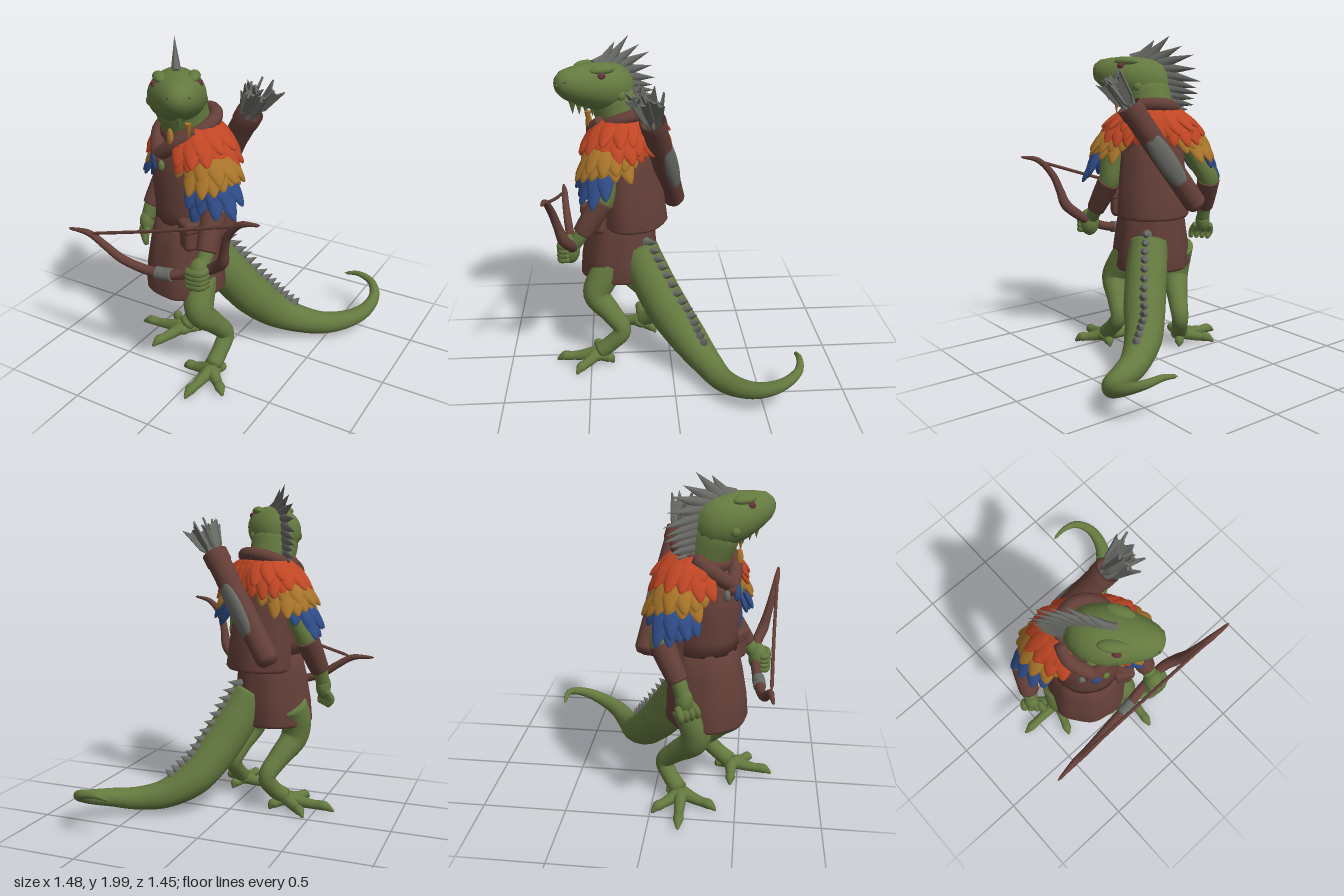
import * as THREE from 'three';
import { mergeVertices } from 'three/addons/utils/BufferGeometryUtils.js';
import { RoundedBoxGeometry } from 'three/addons/geometries/RoundedBoxGeometry.js';

const mat = (name, color) => Object.assign(new THREE.MeshStandardMaterial({ color }), { name });
const V = (p) => new THREE.Vector3(...p);
const UP = new THREE.Vector3(0, 1, 0);

function add(parent, name, geometry, material, pos = [0, 0, 0], scale = [1, 1, 1]) {
  const m = new THREE.Mesh(geometry, material);
  m.name = name;
  m.position.set(...pos);
  m.scale.set(...scale);
  parent.add(m);
  return m;
}

function group(parent, name, pos = [0, 0, 0], yaw = 0) {
  const g = new THREE.Group();
  g.name = name;
  g.position.set(...pos);
  g.rotation.y = yaw;
  parent.add(g);
  return g;
}

const ball = () => new THREE.SphereGeometry(1, 18, 12);

// Closed skin over ascending elliptical sections [cx, y, cz, halfX, halfZ], with optional pleats
function loft(sections, seg = 32, pleat = 0, lobes = 8) {
  const pos = [], idx = [];
  sections.forEach(([cx, y, cz, hx, hz], j) => {
    for (let i = 0; i < seg; i++) {
      const a = (i / seg) * Math.PI * 2, r = 1 + pleat * Math.cos(a * lobes);
      pos.push(cx + hx * r * Math.sin(a), y, cz + hz * r * Math.cos(a));
      if (j < sections.length - 1) {
        const n = (i + 1) % seg, b = j * seg;
        idx.push(b + i, b + n, b + seg + n, b + i, b + seg + n, b + seg + i);
      }
    }
  });
  const g = new THREE.BufferGeometry();
  g.setAttribute('position', new THREE.Float32BufferAttribute(pos, 3));
  g.setIndex(idx);
  g.computeVertexNormals();
  return g;
}

const radiusAt = (radii, t) => {
  const f = t * (radii.length - 1), i = Math.min(Math.floor(f), radii.length - 2);
  return THREE.MathUtils.lerp(radii[i], radii[i + 1], f - i);
};

// Tube through points with a radius at each point, closed at both ends
function limb(points, radii, sides = 14) {
  const curve = new THREE.CatmullRomCurve3(points.map(V));
  const n = points.length * 6;
  const g = new THREE.TubeGeometry(curve, n, 1, sides);
  const p = g.attributes.position, v = new THREE.Vector3();
  for (let i = 0; i <= n; i++) {
    const c = curve.getPointAt(i / n);
    const r = i === 0 || i === n ? 0.0005 : radiusAt(radii, curve.getUtoTmapping(i / n));
    for (let k = 0; k <= sides; k++) {
      const q = i * (sides + 1) + k;
      v.fromBufferAttribute(p, q).sub(c).multiplyScalar(r).add(c);
      p.setXYZ(q, v.x, v.y, v.z);
    }
  }
  g.deleteAttribute('uv');
  g.deleteAttribute('normal');
  const out = mergeVertices(g, 1e-6);
  out.computeVertexNormals();
  return out;
}

export function createModel() {
  const green = mat('scale green', 0x64793f), brown = mat('leather brown', 0x643f38);
  const red = mat('feather red', 0xc04624), ochre = mat('feather ochre', 0xa8742a);
  const blue = mat('feather blue', 0x2f4c88), grey = mat('horn grey', 0x686a65);
  const eyeMat = mat('eye maroon', 0x64343a);
  const root = new THREE.Group();
  root.name = 'lizardArcher';

  // Clothed body, turned to the model's right
  const body = group(root, 'body', [-0.14, 0, 0.25], -0.55);
  add(body, 'skirt', loft([[0, 0.62, 0.07, 0.01, 0.01], [0, 0.53, 0.07, 0.235, 0.22], [0, 0.55, 0.07, 0.25, 0.235],
    [0, 0.68, 0.065, 0.24, 0.23], [0, 0.85, 0.055, 0.215, 0.21], [0, 1.02, 0.04, 0.19, 0.18], [0, 1.03, 0.04, 0.01, 0.01]], 64, 0.018), brown);
  add(body, 'torso', loft([[0, 0.97, 0.04, 0.02, 0.02], [0, 0.98, 0.04, 0.2, 0.19], [0, 1.06, 0.04, 0.198, 0.19], [0, 1.2, 0.04, 0.21, 0.2],
    [0, 1.35, 0.03, 0.225, 0.195], [0, 1.44, 0.01, 0.22, 0.165], [0, 1.51, -0.01, 0.14, 0.12], [0, 1.52, -0.01, 0.01, 0.01]]), brown);
  add(body, 'backDrape', loft([[0, 0.92, -0.04, 0.02, 0.02], [0, 0.88, -0.045, 0.21, 0.18], [0, 0.9, -0.045, 0.225, 0.195],
    [0, 1.05, -0.035, 0.215, 0.185], [0, 1.25, -0.015, 0.2, 0.165], [0, 1.45, 0, 0.19, 0.15], [0, 1.5, 0, 0.02, 0.02]], 48, 0.015, 7), brown);
  add(body, 'pouch', new RoundedBoxGeometry(0.11, 0.16, 0.15, 3, 0.03), brown, [0.2, 0.945, 0.105]);
  add(body, 'pouchFlap', new RoundedBoxGeometry(0.12, 0.07, 0.16, 3, 0.02), brown, [0.203, 1.01, 0.105]);
  const collar = add(body, 'collar', new THREE.TorusGeometry(0.145, 0.04, 10, 36), brown, [0, 1.54, 0.01]);
  collar.rotation.x = Math.PI / 2 + 0.36;
  for (const s of [-1, 1]) {
    add(body, 'scarfFold', limb([[s * 0.155, 1.55, 0.06], [s * 0.12, 1.48, 0.15], [0, 1.38, 0.215], [-s * 0.05, 1.345, 0.22]],
      [0.04, 0.045, 0.042, 0.03]), brown);
    add(body, 'chestBead', ball(), s > 0 ? green : grey, [s * 0.065, 1.34, 0.23], [0.022, 0.032, 0.018]);
  }
  add(body, 'chestFeather', ball(), blue, [0.01, 1.345, 0.25], [0.03, 0.05, 0.015]);
  add(body, 'neckPendant', ball(), ochre, [0.11, 1.51, 0.19], [0.024, 0.055, 0.018]);
  add(body, 'hangingFeather', ball(), blue, [0.225, 1.12, 0.11], [0.03, 0.11, 0.035]);

  // Layered feather mantle, open at the chest; lower layers cover only the shoulders
  const leaf = new THREE.SphereGeometry(1, 10, 10);
  leaf.translate(0, -1, 0);
  const lp = leaf.attributes.position;
  for (let i = 0; i < lp.count; i++) lp.setX(i, lp.getX(i) * (1.3 + 0.34 * lp.getY(i)));
  leaf.computeVertexNormals();
  const mantle = group(body, 'featherMantle');
  const rows = [
    // material, y, radiusX, radiusZ, count, length, width, tilt, least |sin|, cosine range
    [red, 1.56, 0.15, 0.13, 18, 0.18, 0.052, 0.9, 0, -1, 0.8],
    [red, 1.53, 0.2, 0.155, 22, 0.18, 0.054, 0.72, 0, -1, 0.82],
    [red, 1.49, 0.245, 0.165, 24, 0.16, 0.05, 0.58, 0.2, -1, 0.82],
    [ochre, 1.44, 0.275, 0.16, 24, 0.17, 0.052, 0.62, 0.4, -0.92, 0.8],
    [ochre, 1.39, 0.305, 0.16, 26, 0.17, 0.05, 0.56, 0.55, -0.8, 0.8],
    [blue, 1.335, 0.325, 0.17, 26, 0.19, 0.048, 0.5, 0.6, -0.3, 0.78],
    [blue, 1.29, 0.335, 0.16, 26, 0.19, 0.05, 0.45, 0.6, -0.2, 0.75],
  ];
  for (const [m, y, rx, rz, n, len, w, tilt, least, cMin, cMax] of rows) {
    for (let i = 0; i < n; i++) {
      const a = ((i + 0.5) / n) * Math.PI * 2, s = Math.sin(a), c = Math.cos(a);
      if (c > cMax || c < cMin || Math.abs(s) < least) continue;
      const wave = Math.sin(i * 5.3 + y * 40);
      const f = add(mantle, 'feather', leaf, m, [rx * s, y, rz * c], [w, (len * (1 + 0.14 * wave)) / 2, 0.02]);
      f.rotation.set(-tilt * (0.4 + 0.6 * Math.abs(s)) - 0.06 * wave, Math.atan2(s / rx, c / rz), 0.12 * wave, 'YXZ');
    }
  }

  // Neck and head, looking to the model's left
  add(root, 'neck', limb([[-0.15, 1.4, 0.25], [-0.16, 1.53, 0.28], [-0.17, 1.65, 0.325], [-0.155, 1.75, 0.37]],
    [0.13, 0.138, 0.145, 0.12], 20), green);
  const head = group(root, 'head', [-0.15, -0.008, 0.385], 0.62);
  const skull = loft([[0, -0.195, -1.71, 0.005, 0.005], [0, -0.185, -1.715, 0.06, 0.07], [0, -0.15, -1.72, 0.11, 0.115], [0, -0.09, -1.726, 0.143, 0.14],
    [0, -0.02, -1.732, 0.16, 0.147], [0, 0.05, -1.742, 0.158, 0.142], [0, 0.12, -1.754, 0.14, 0.128], [0, 0.2, -1.768, 0.112, 0.106],
    [0, 0.26, -1.78, 0.084, 0.083], [0, 0.295, -1.784, 0.054, 0.054], [0, 0.307, -1.785, 0.022, 0.022], [0, 0.309, -1.785, 0.002, 0.002]]);
  skull.rotateX(Math.PI / 2);
  add(head, 'skull', skull, green);
  for (const s of [-1, 1]) {
    const brow = add(head, 'browRidge', ball(), green, [s * 0.09, 1.853, 0.06], [0.036, 0.028, 0.08]);
    brow.rotation.y = -s * 0.15;
    add(head, 'eye', ball(), eyeMat, [s * 0.12, 1.825, 0.085], [0.017, 0.02, 0.025]);
    add(head, 'cheekScale', ball(), green, [s * 0.145, 1.7, -0.03], [0.022, 0.03, 0.03]);
    add(head, 'nostril', ball(), eyeMat, [s * 0.053, 1.805, 0.285], [0.007, 0.007, 0.008]);
  }
  for (let i = 0; i < 5; i++) {
    const d = add(head, 'chinSpike', new THREE.ConeGeometry(0.025, 0.08, 6), green, [0, 1.595 + i * 0.012, 0.03 + i * 0.045]);
    d.rotation.x = Math.PI;
  }
  const fang = add(head, 'chinPendant', new THREE.ConeGeometry(0.02, 0.1, 8), ochre, [0.05, 1.57, 0.14]);
  fang.rotation.x = Math.PI;

  // Webbed fan of spines from the crown down the nape
  const nape = new THREE.CatmullRomCurve3([[0.03, 1.87, 0], [-0.07, 1.87, 0], [-0.15, 1.81, 0], [-0.19, 1.67, 0], [-0.2, 1.52, 0]].map(V));
  const crest = group(head, 'crest');
  for (let i = 0; i < 13; i++) {
    const t = i / 12, p = nape.getPointAt(t), tan = nape.getTangentAt(t);
    const out = new THREE.Vector3(tan.y, -tan.x, 0).addScaledVector(tan, 1.0 * (1 - t)).normalize();
    const len = 0.08 + 0.18 * Math.sin(Math.PI * Math.pow(t, 0.65) * 0.92) - (i % 2) * 0.02;
    const c = add(crest, 'crestSpine', new THREE.ConeGeometry(0.046, len, 8), grey,
      [0, p.y + out.y * len * 0.4, p.x + out.x * len * 0.4], [0.6, 1, 1]);
    c.rotation.x = Math.atan2(out.x, out.y);
  }

  // Tail with a row of spines
  const tailPts = [[-0.08, 0.74, 0.2], [0.005, 0.56, 0.12], [0.105, 0.37, 0.01], [0.2, 0.23, -0.1], [0.34, 0.14, -0.2], [0.49, 0.115, -0.275],
    [0.62, 0.135, -0.37], [0.69, 0.165, -0.48], [0.7, 0.21, -0.6], [0.64, 0.25, -0.69], [0.54, 0.27, -0.715], [0.44, 0.25, -0.71]];
  const tailR = [0.12, 0.13, 0.13, 0.115, 0.088, 0.07, 0.056, 0.045, 0.034, 0.025, 0.018, 0.009];
  add(root, 'tail', limb(tailPts, tailR, 20), green);
  const tailCurve = new THREE.CatmullRomCurve3(tailPts.map(V));
  for (let i = 0; i < 14; i++) {
    const t = 0.01 + i * 0.0245, T = tailCurve.getTangent(t);
    const n = UP.clone().addScaledVector(T, -UP.dot(T)).normalize();
    const p = tailCurve.getPoint(t).addScaledVector(n, radiusAt(tailR, t) + 0.018);
    const s = add(root, 'tailSpine', new THREE.ConeGeometry(0.034, 0.09 - i * 0.002, 7), grey, p.toArray());
    s.quaternion.setFromUnitVectors(UP, n.addScaledVector(T, 0.35).normalize());
  }

  // Legs: hip, knee, hock, foot, then spread toes
  const legs = [
    ['leftLeg', [[-0.05, 0.68, 0.32], [-0.02, 0.56, 0.41], [0.01, 0.45, 0.455], [0.055, 0.34, 0.37], [0.09, 0.235, 0.3], [0.09, 0.15, 0.37], [0.085, 0.08, 0.46]],
      [[-0.11, 0.035, 0.46], [0.06, 0.025, 0.72], [0.24, 0.04, 0.59], [0.12, 0.03, 0.36]]],
    ['rightLeg', [[-0.32, 0.68, 0.2], [-0.345, 0.56, 0.25], [-0.335, 0.45, 0.25], [-0.265, 0.33, 0.14], [-0.22, 0.23, 0.06], [-0.25, 0.15, 0.1], [-0.31, 0.08, 0.17]],
      [[-0.62, 0.03, 0.18], [-0.47, 0.03, 0.01], [-0.4, 0.03, 0.39], [-0.23, 0.03, 0.08]]],
  ];
  for (const [name, pts, toes] of legs) {
    const g = group(root, name);
    add(g, 'leg', limb(pts, [0.1, 0.095, 0.085, 0.064, 0.053, 0.05, 0.052], 18), green);
    const b = pts[6];
    add(g, 'footPad', ball(), green, [b[0], 0.07, b[2]], [0.06, 0.042, 0.06]);
    for (const tip of toes) {
      const mix = (k, y) => [b[0] + (tip[0] - b[0]) * k, y, b[2] + (tip[2] - b[2]) * k];
      add(g, 'toe', limb([mix(0, 0.08), mix(0.35, 0.06), mix(0.6, 0.052), mix(0.8, 0.05), mix(1, 0.02)],
        [0.045, 0.034, 0.028, 0.031, 0.006], 10), green);
    }
  }

  // Arms with bracers and clawed hands
  const arms = [
    ['leftArm', [0.05, 1.38, 0.38], [0.085, 1.1, 0.4], [0.105, 0.9, 0.53], [0.105, 0.81, 0.6], [0.065, 0.09, 0.06]],
    ['rightArm', [-0.34, 1.37, 0.14], [-0.46, 1.1, 0.07], [-0.515, 0.9, 0.17], [-0.53, 0.8, 0.2], [0.045, 0.075, 0.05]],
  ];
  for (const [name, sh, el, wr, hand, size] of arms) {
    const g = group(root, name);
    add(g, 'upperArm', limb([sh, el.map((v, i) => (v + sh[i]) / 2), el, wr, hand], [0.08, 0.075, 0.066, 0.045, 0.04], 16), green);
    const lerp = (k) => el.map((v, i) => v + (wr[i] - v) * k);
    add(g, 'bracer', limb([lerp(-0.05), lerp(0), lerp(0.5), lerp(0.95), lerp(1)], [0.066, 0.073, 0.066, 0.057, 0.054], 18), brown);
    add(g, 'palm', ball(), green, hand, size);
    for (let i = 0; i < 4; i++) {
      const [x, y, z] = hand, o = (i - 1.5) * 0.028;
      add(g, 'finger', limb(name === 'leftArm'
        ? [[x + 0.06, y + o, z], [x + 0.04, y + o - 0.01, z + 0.05], [x - 0.04, y + o - 0.02, z + 0.05], [x - 0.06, y + o - 0.02, z + 0.01]]
        : [[x + o * 0.7, y - 0.02, z + o * 0.8], [x + o - 0.01, y - 0.08, z + o + 0.03], [x + o * 0.8 + 0.01, y - 0.125, z + o + 0.03]],
      [0.02, 0.022, 0.02, 0.012], 8), green);
    }
  }

  // Bow with a bound grip and string
  const bow = group(root, 'bow');
  add(bow, 'bowLimbs', limb([[-0.74, 0.91, 0.68], [-0.6, 0.905, 0.665], [-0.5, 0.85, 0.655], [-0.4, 0.785, 0.64], [-0.25, 0.745, 0.62], [-0.12, 0.745, 0.61],
    [0, 0.77, 0.59], [0.1, 0.81, 0.585], [0.2, 0.87, 0.59], [0.27, 0.94, 0.625], [0.295, 1.03, 0.65], [0.33, 1.13, 0.675], [0.42, 1.23, 0.7], [0.54, 1.26, 0.71]],
  [0.007, 0.02, 0.023, 0.026, 0.028, 0.032, 0.028, 0.028, 0.032, 0.034, 0.026, 0.023, 0.018, 0.007]), brown);
  add(bow, 'bowGrip', limb([[-0.18, 0.743, 0.615], [-0.12, 0.745, 0.61], [-0.07, 0.752, 0.603]], [0.038, 0.038, 0.038]), grey);
  add(bow, 'bowString', limb([[-0.6, 0.905, 0.67], [-0.05, 1.07, 0.685], [0.48, 1.245, 0.705]], [0.01, 0.01, 0.01], 8), brown);

  // Quiver slung across the back, its local y running to the mouth
  const axis = new THREE.Vector3(0.4, 0.62, 0.15).normalize();
  const quiver = group(root, 'quiver', [-0.06, 1.28, 0.03]);
  const back = new THREE.Vector3(0.54, 0, -0.84);
  back.addScaledVector(axis, -axis.dot(back)).normalize();
  quiver.quaternion.setFromRotationMatrix(new THREE.Matrix4().makeBasis(new THREE.Vector3().crossVectors(axis, back), axis, back));
  add(quiver, 'quiverTube', new THREE.LatheGeometry([[0, -0.4], [0.05, -0.39], [0.068, -0.36], [0.072, 0], [0.072, 0.3], [0.078, 0.31], [0.078, 0.38],
    [0.065, 0.38], [0.06, 0.3], [0, 0.3]].map((p) => new THREE.Vector2(...p)), 24), brown);
  add(quiver, 'quiverPanel', ball(), grey, [0, -0.01, 0.046], [0.062, 0.25, 0.033]);
  const vane = new THREE.Shape([[0, 0.04], [0.035, 0.1], [0.055, 0.26], [0.025, 0.22], [0, 0.23]].map((p) => new THREE.Vector2(...p)));
  for (let i = 0; i < 5; i++) {
    const a = (i / 5) * Math.PI * 2;
    const arrow = group(quiver, 'arrow', [0.028 * Math.sin(a), 0.33, 0.028 * Math.cos(a)]);
    arrow.rotation.set(0.2 * Math.cos(a), a, -0.2 * Math.sin(a));
    add(arrow, 'shaft', new THREE.CylinderGeometry(0.012, 0.012, 0.2, 8), grey, [0, 0.08, 0]);
    for (let k = 0; k < 3; k++) {
      const v = add(arrow, 'vane', new THREE.ExtrudeGeometry(vane, { depth: 0.012, bevelEnabled: false }), grey);
      v.rotation.y = (k / 3) * Math.PI * 2;
    }
  }
  return root;
}
